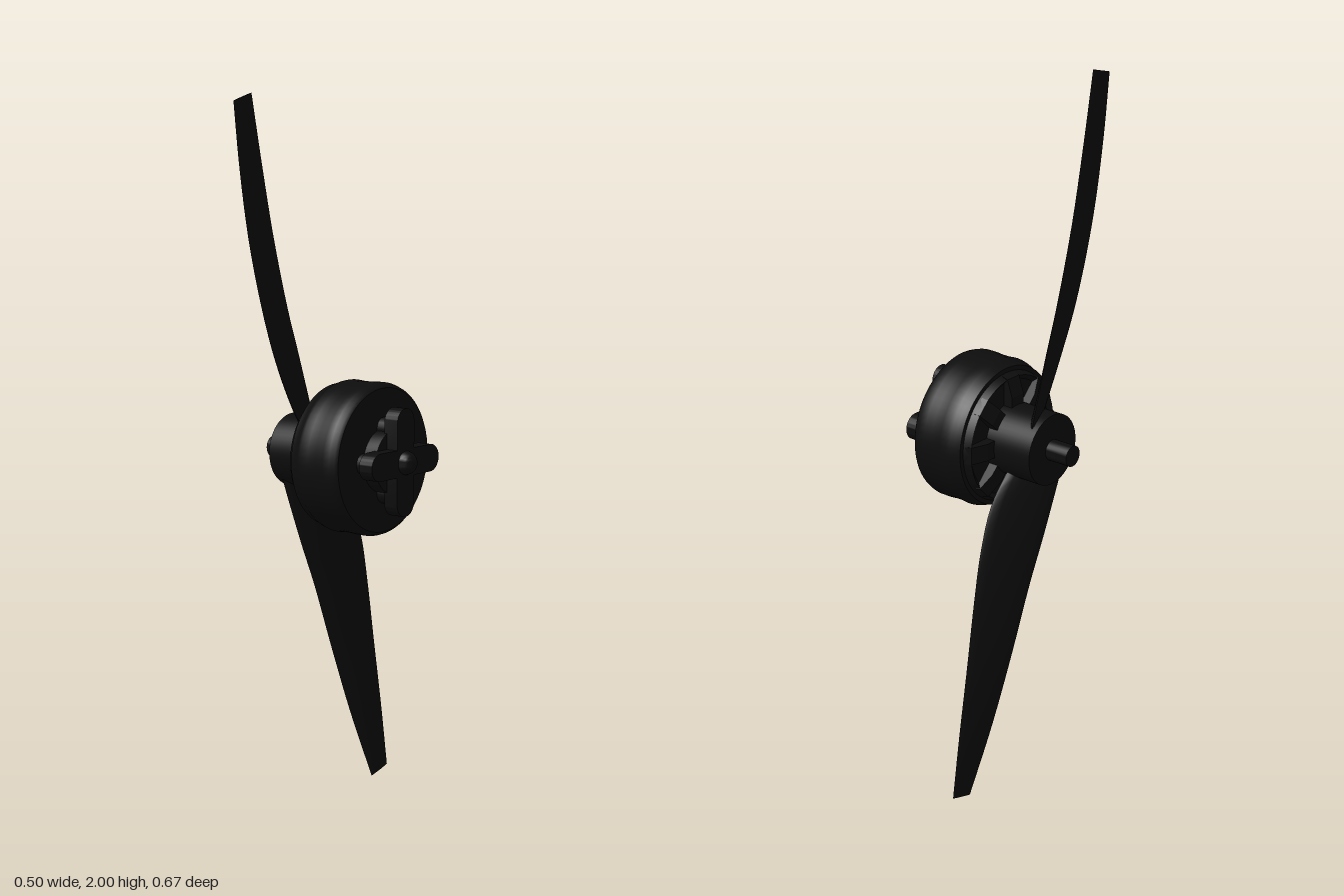
import * as THREE from 'three';
import { toCreasedNormals } from 'three/addons/utils/BufferGeometryUtils.js';

const black = new THREE.MeshStandardMaterial({ color: 0x0d0d0d });
black.name = 'matte black';

function add(parent, name, geometry) {
  const mesh = new THREE.Mesh(geometry, black);
  mesh.name = name;
  parent.add(mesh);
  return mesh;
}

// Turned part along the x axis; profile points are [x, radius]
function turned(profile, segments = 48) {
  const points = profile.map(([x, r]) => new THREE.Vector2(r, x));
  return toCreasedNormals(new THREE.LatheGeometry(points, segments).rotateZ(-Math.PI / 2), 0.6);
}

// Blade lofted between two edge curves with a thin lens section
function bladeGeometry() {
  // points are [x, distance from axis, z]
  const curve = (pts) => new THREE.CatmullRomCurve3(pts.map((p) => new THREE.Vector3(...p)));
  const leading = curve([
    [-0.085, 0.04, 0.05], [-0.076, 0.15, 0.133], [-0.083, 0.27, 0.188], [-0.093, 0.4, 0.228],
    [-0.103, 0.6, 0.274], [-0.104, 0.8, 0.31], [-0.102, 0.98, 0.335],
  ]);
  const trailing = curve([
    [-0.165, 0.04, -0.08], [-0.161, 0.15, -0.04], [-0.156, 0.27, 0.005], [-0.15, 0.4, 0.057],
    [-0.141, 0.6, 0.126], [-0.125, 0.8, 0.192], [-0.102, 1.0, 0.262],
  ]);
  const rows = 28, sides = 16, position = [], index = [];
  for (let i = 0; i <= rows; i++) {
    const t = i / rows;
    const a = leading.getPoint(t), b = trailing.getPoint(t);
    const mid = a.clone().add(b).multiplyScalar(0.5);
    const half = a.clone().sub(b).multiplyScalar(0.5);
    const normal = new THREE.Vector3(-half.z, 0, half.x).normalize();
    const thick = 0.012 * (1 - t) + 0.002;
    for (let k = 0; k < sides; k++) {
      const angle = (k / sides) * Math.PI * 2;
      const p = mid.clone().addScaledVector(half, Math.cos(angle));
      p.addScaledVector(normal, Math.sin(angle) * thick);
      position.push(p.x, p.y, p.z);
      if (i < rows) {
        const c = i * sides + k, n = i * sides + ((k + 1) % sides);
        index.push(c, c + sides, n, n, c + sides, n + sides);
      }
    }
  }
  // tip cap
  const last = rows * sides;
  for (let k = 1; k < sides - 1; k++) index.push(last, last + k + 1, last + k);
  const geometry = new THREE.BufferGeometry();
  geometry.setAttribute('position', new THREE.Float32BufferAttribute(position, 3));
  geometry.setIndex(index);
  return toCreasedNormals(geometry, 0.9);
}

export function createModel() {
  const model = new THREE.Group();
  model.name = 'propellerAndMotor';
  const rotor = new THREE.Group();
  rotor.name = 'rotor';
  rotor.position.y = 1;
  model.add(rotor);

  // Shaft and propeller hub
  add(rotor, 'shaft', turned([[-0.253, 0], [-0.253, 0.03], [-0.17, 0.03]], 24));
  add(rotor, 'hub', turned([[-0.182, 0], [-0.182, 0.102], [-0.03, 0.102]]));

  // Two blades, half a turn apart
  const blade = bladeGeometry();
  for (let i = 0; i < 2; i++) add(rotor, 'blade', blade).rotation.x = i * Math.PI;

  // Motor can with rounded shoulders
  add(rotor, 'motorCan', turned([
    [-0.03, 0], [-0.03, 0.165], [-0.042, 0.178], [-0.02, 0.187], [-0.02, 0.2], [-0.003, 0.203],
    [0.01, 0.21], [0.022, 0.213], [0.045, 0.211], [0.075, 0.211], [0.1, 0.213], [0.122, 0.213],
    [0.137, 0.208], [0.144, 0.2], [0.144, 0],
  ], 64));

  // Spokes on the propeller side of the can
  const side = new THREE.Shape([
    [-0.025, 0.08], [-0.059, 0.08], [-0.059, 0.128], [-0.043, 0.178], [-0.025, 0.184],
  ].map(([x, y]) => new THREE.Vector2(x, y)));
  const spoke = new THREE.ExtrudeGeometry(side, { depth: 0.05, bevelEnabled: false }).translate(0, 0, -0.025);
  for (let i = 0; i < 8; i++) add(rotor, 'spoke', spoke).rotation.x = (i * Math.PI) / 4;

  // Stepped base and four-armed mount
  add(rotor, 'mountBase', turned([[0.14, 0], [0.14, 0.09], [0.185, 0.09], [0.185, 0]]));
  const arm = new THREE.Shape();
  arm.moveTo(-0.038, 0);
  arm.lineTo(-0.038, 0.112);
  arm.absarc(0, 0.112, 0.038, Math.PI, 0, true);
  arm.lineTo(0.038, 0);
  const armGeometry = toCreasedNormals(
    new THREE.ExtrudeGeometry(arm, { depth: 0.044, bevelEnabled: false, curveSegments: 16 })
      .rotateY(Math.PI / 2).translate(0.176, 0, 0), 0.6);
  const foot = new THREE.CylinderGeometry(0.03, 0.03, 0.04, 20).rotateZ(Math.PI / 2).translate(0.16, 0.09, 0);
  for (let i = 0; i < 4; i++) {
    const angle = (i * Math.PI) / 2;
    add(rotor, 'mountArm', armGeometry).rotation.x = angle;
    add(rotor, 'mountFoot', foot).rotation.x = angle;
  }

  // Rounded shaft end
  const dome = [[0.17, 0.033]];
  for (let i = 0; i <= 8; i++) {
    const a = (i / 8) * Math.PI / 2;
    dome.push([0.219 + 0.033 * Math.sin(a), 0.033 * Math.cos(a)]);
  }
  add(rotor, 'shaftEnd', turned(dome, 24));
  return model;
}
